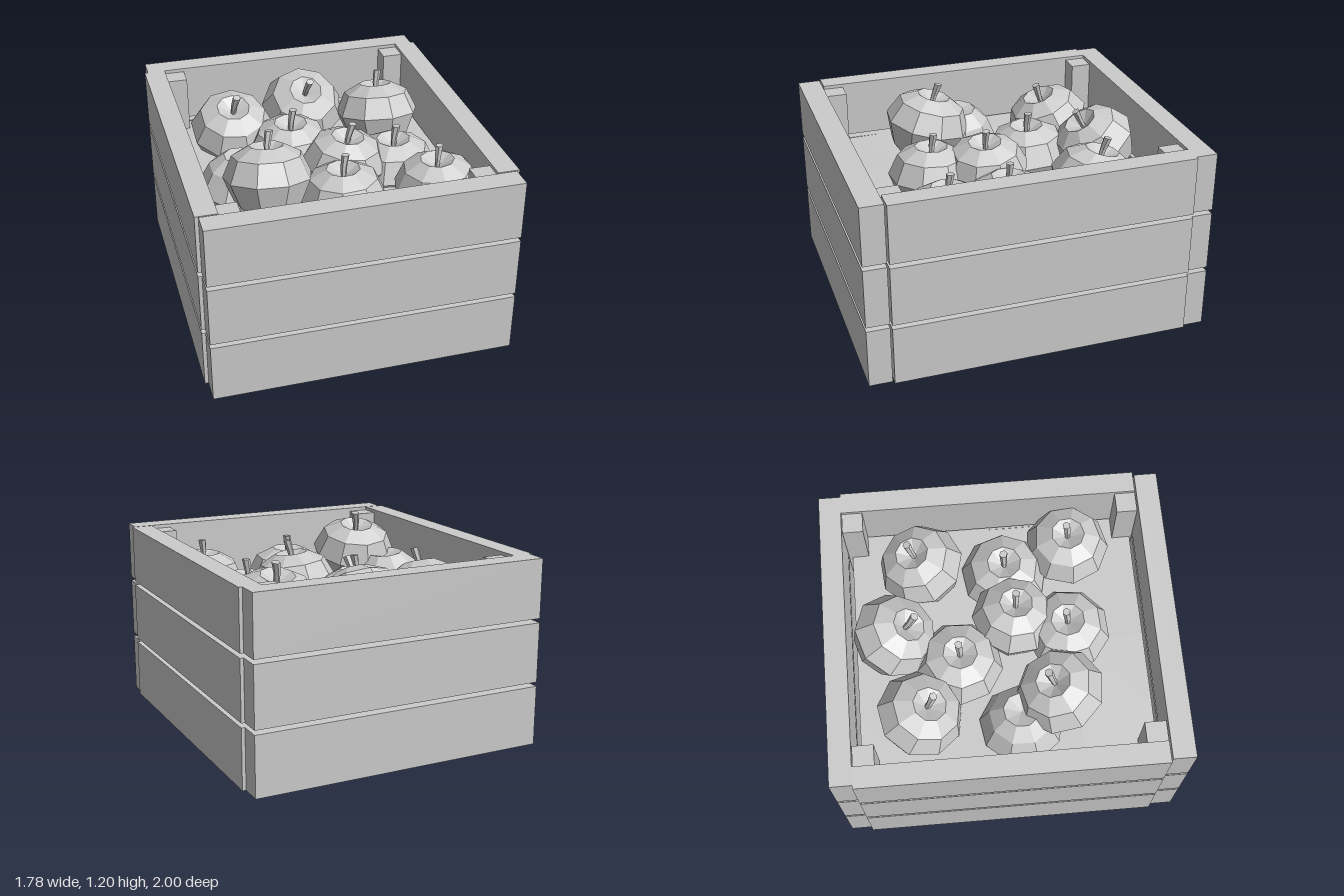
import * as THREE from 'three';

const material = new THREE.MeshStandardMaterial({ color: 0xcccccc, flatShading: true });
const sheetMaterial = new THREE.MeshStandardMaterial({ color: 0xcccccc, flatShading: true, side: THREE.DoubleSide });

// Box given by its minimum and maximum corners
function box(name, [x0, y0, z0], [x1, y1, z1]) {
  const mesh = new THREE.Mesh(new THREE.BoxGeometry(x1 - x0, y1 - y0, z1 - z0), material);
  mesh.position.set((x0 + x1) / 2, (y0 + y1) / 2, (z0 + z1) / 2);
  mesh.name = name;
  return mesh;
}

function createCrate() {
  const crate = new THREE.Group();
  crate.name = 'crate';

  // Three courses of planks on each of the four walls
  for (const [y0, y1] of [[0.005, 0.355], [0.38, 0.73], [0.755, 1.1]]) {
    crate.add(
      box('frontPlank', [-0.87, y0, 0.868], [0.87, y1, 1]),
      box('backPlank', [-0.87, y0, -1], [0.87, y1, -0.873]),
      box('leftPlank', [0.765, y0, -0.873], [0.89, y1, 0.86]),
      box('rightPlank', [-0.89, y0, -0.873], [-0.765, y1, 0.86])
    );
  }

  // Corner posts inside the walls
  for (const x of [-0.765, 0.645]) {
    for (const z of [-0.87, 0.742]) {
      crate.add(box('cornerPost', [x, 0.03, z], [x + 0.12, 1.08, z + 0.12]));
    }
  }

  // Floor boards with narrow gaps
  for (let i = 0; i < 4; i++) {
    const x = -0.762 + i * 0.385;
    crate.add(box('floorBoard', [x, 0, -0.87], [x + 0.365, 0.06, 0.855]));
  }
  return crate;
}

// Slightly uneven bed that carries the apples
function createBed() {
  const geometry = new THREE.PlaneGeometry(1.66, 1.7, 4, 4).rotateX(-Math.PI / 2);
  const p = geometry.attributes.position;
  for (let i = 0; i < p.count; i++) {
    p.setY(i, 0.735 + 0.01 * Math.sin(p.getX(i) * 5.1 + p.getZ(i) * 3.3));
  }
  geometry.computeVertexNormals();
  const bed = new THREE.Mesh(geometry, sheetMaterial);
  bed.name = 'appleBed';
  return bed;
}

// Nine-sided apple body, listed from the underside to the dimple
const profile = [
  [0, -0.17], [0.11, -0.205], [0.195, -0.13], [0.257, 0.015],
  [0.2, 0.14], [0.1, 0.195], [0, 0.14]
].map(([r, y]) => new THREE.Vector2(r, y));
const bodyGeometry = new THREE.LatheGeometry(profile, 9);

// Stem flares and leans towards its tip
const stemGeometry = new THREE.CylinderGeometry(0.024, 0.014, 0.15, 6, 2);
{
  const p = stemGeometry.attributes.position;
  for (let i = 0; i < p.count; i++) {
    const t = (p.getY(i) + 0.075) / 0.15;
    p.setX(i, p.getX(i) + 0.02 * t * t);
  }
  stemGeometry.computeVertexNormals();
}

function createApple({ at, tilt = [0, 0], turn = 0, size = 1 }) {
  const apple = new THREE.Group();
  apple.name = 'apple';
  const body = new THREE.Mesh(bodyGeometry, material);
  body.name = 'appleBody';
  const stem = new THREE.Mesh(stemGeometry, material);
  stem.name = 'appleStem';
  stem.position.y = 0.2;
  const spin = new THREE.Group();
  spin.name = 'appleTurn';
  spin.rotation.y = turn;
  spin.add(body, stem);
  apple.add(spin);
  apple.position.set(...at);
  apple.rotation.set(tilt[0], 0, tilt[1]);
  apple.scale.setScalar(size);
  return apple;
}

export function createModel() {
  const model = new THREE.Group();
  model.name = 'appleCrate';
  model.add(createCrate(), createBed());

  // Loose pile; tilt is about x and z
  const apples = [
    { at: [-0.42, 0.83, -0.5], tilt: [0.36, 0], turn: 0.2 },
    { at: [0.06, 0.86, -0.62], tilt: [0.55, 0], turn: 0.35 },
    { at: [0.5, 0.85, -0.43], tilt: [-0.25, 0], turn: 0.1 },
    { at: [-0.11, 0.77, -0.25], tilt: [0.05, 0], turn: 0.5 },
    { at: [0.13, 0.83, 0.09], tilt: [0.08, -0.1], turn: 0.3, size: 0.97 },
    { at: [0.45, 0.74, 0.06], tilt: [0, 0.03], turn: 0.15 },
    { at: [0.04, 0.79, 0.4], tilt: [-0.03, 0.03], turn: 0.4, size: 0.98 },
    { at: [0.58, 0.8, 0.45], tilt: [0, 0.03], turn: 0.6, size: 0.98 },
    { at: [-0.5, 0.77, 0.08], tilt: [Math.PI, 0.1], turn: 0.2, size: 0.95 },
    { at: [-0.38, 0.93, 0.31], tilt: [-0.25, -0.03], turn: 0.25 }
  ];
  for (const apple of apples) model.add(createApple(apple));
  return model;
}
